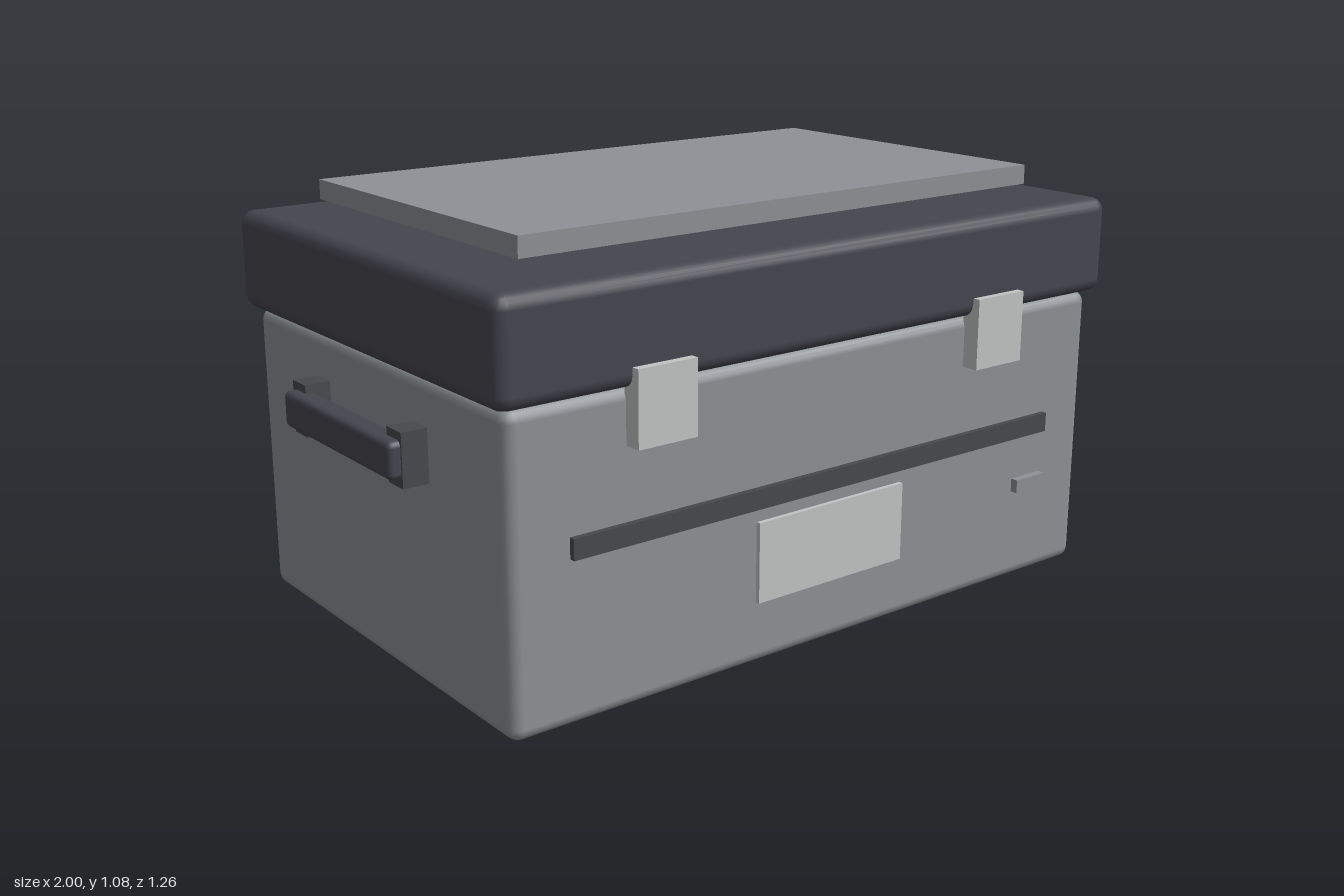
import * as THREE from 'three';
import { RoundedBoxGeometry } from 'three/addons/geometries/RoundedBoxGeometry.js';

const paint = (name, color) => {
  const m = new THREE.MeshStandardMaterial({ color });
  m.name = name;
  return m;
};

export function createModel() {
  const group = new THREE.Group();
  const shell = paint('shell grey', 0x8d9195);
  const dark = paint('lid charcoal', 0x45454f);
  const trim = paint('trim charcoal', 0x46494d);
  const metal = paint('light metal', 0xc2c4c4);

  // Box given by its min and max on each axis; a radius rounds its edges
  const box = (name, mat, [x0, x1], [y0, y1], [z0, z1], radius = 0) => {
    const size = [x1 - x0, y1 - y0, z1 - z0];
    const geo = radius
      ? new RoundedBoxGeometry(...size, 2, radius)
      : new THREE.BoxGeometry(...size);
    const mesh = new THREE.Mesh(geo, mat);
    mesh.name = name;
    mesh.position.set((x0 + x1) / 2, (y0 + y1) / 2, (z0 + z1) / 2);
    group.add(mesh);
  };
  // Range on the positive side, or mirrored to the negative side
  const side = (s, a, b) => (s > 0 ? [a, b] : [-b, -a]);

  // Main volumes
  box('body', shell, [-0.905, 0.905], [0, 0.75], [-0.585, 0.585], 0.03);
  box('lid', dark, [-0.935, 0.935], [0.75, 1], [-0.61, 0.61], 0.035);
  box('topPanel', shell, [-0.78, 0.78], [1.03, 1.08], [-0.455, 0.455]);

  for (const s of [1, -1]) {
    // Front and back: latches, stripe and label
    const face = s > 0 ? 'front' : 'back';
    for (const t of [1, -1]) {
      box(face + 'Latch', metal, side(t, 0.44, 0.6), [0.62, 0.8], side(s, 0.58, 0.63));
    }
    box(face + 'Stripe', trim, [-0.75, 0.75], [0.395, 0.445], side(s, 0.57, 0.6));
    box(face + 'Label', metal, [-0.23, 0.23], [0.16, 0.36], side(s, 0.57, 0.597));

    // Carry handle on each end
    const end = s > 0 ? 'left' : 'right';
    for (const t of [1, -1]) {
      box(end + 'HandleMount', trim, side(s, 0.89, 0.97), [0.51, 0.64], side(t, 0.2, 0.265));
    }
    box(end + 'HandleGrip', dark, side(s, 0.94, 1), [0.53, 0.62], [-0.26, 0.26], 0.015);
  }

  // Small badge on the front
  box('badge', shell, [0.645, 0.75], [0.245, 0.28], [0.57, 0.605]);

  return group;
}
